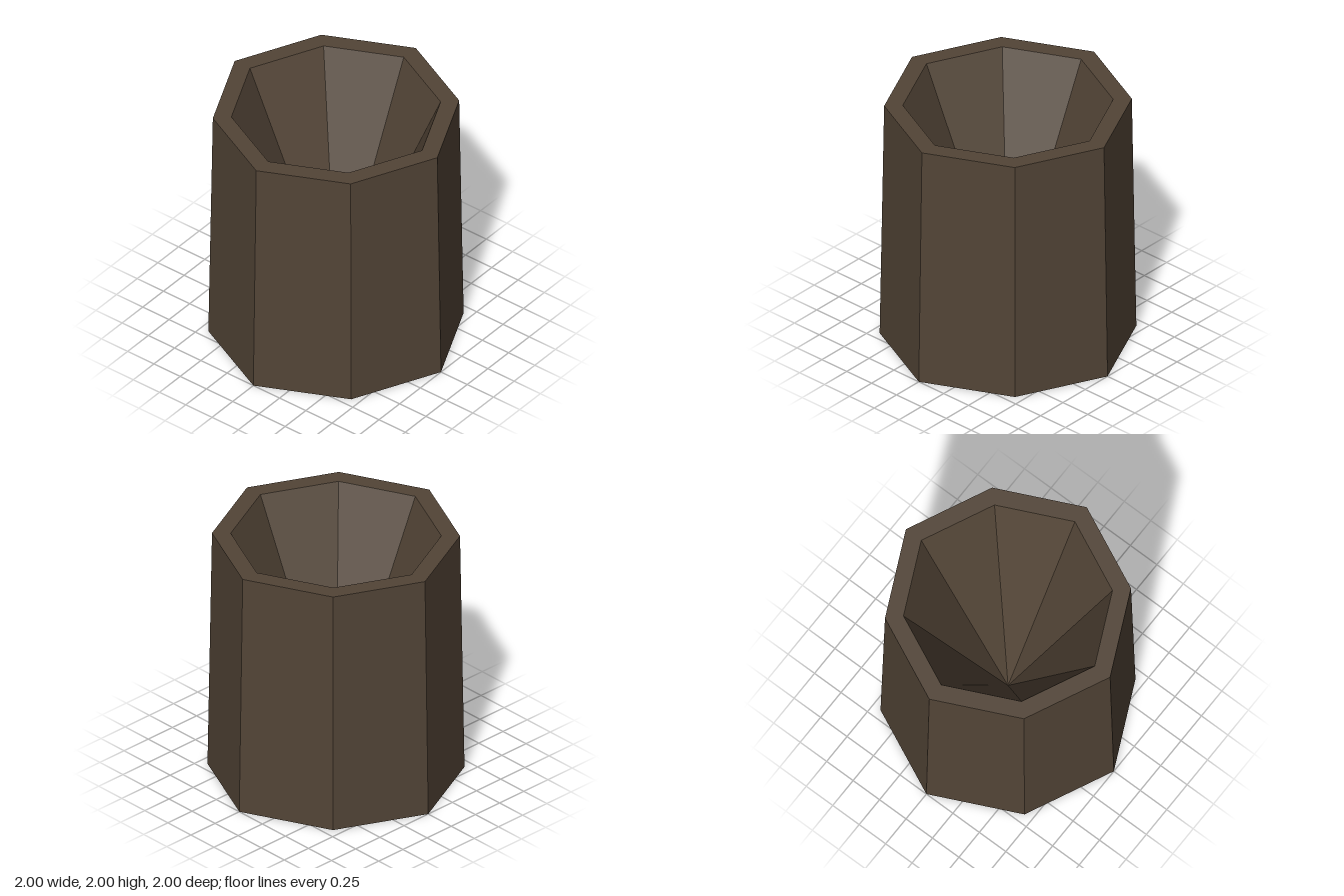
import * as THREE from 'three';

const SIDES = 8;
const DIAGONAL = 0.962; // diagonal corners sit slightly inside the axis corners

// Eight-sided surface turned from a [radius, y] profile, with pulled-in diagonals
function octagon(profile) {
  const lathe = new THREE.LatheGeometry(profile.map(([r, y]) => new THREE.Vector2(r, y)), SIDES);
  const pos = lathe.attributes.position;
  for (let i = 0; i < pos.count; i++) {
    const column = Math.floor(i / profile.length);
    if (column % 2) {
      pos.setX(i, pos.getX(i) * DIAGONAL);
      pos.setZ(i, pos.getZ(i) * DIAGONAL);
    }
  }
  const flat = lathe.toNonIndexed();
  flat.computeVertexNormals();
  return flat;
}

export function createModel() {
  const group = new THREE.Group();
  group.name = 'hollowStump';

  const bark = new THREE.MeshStandardMaterial({ color: 0x524436, flatShading: true });
  bark.name = 'dark brown wood';

  const parts = {
    base: [[0, 0], [1, 0]],
    outerWall: [[1, 0], [0.965, 2]],
    rim: [[0.965, 2], [0.82, 2]],
    funnelHollow: [[0.82, 2], [0, 0.2]],
  };
  for (const [name, profile] of Object.entries(parts)) {
    const mesh = new THREE.Mesh(octagon(profile), bark);
    mesh.name = name;
    group.add(mesh);
  }
  return group;
}
